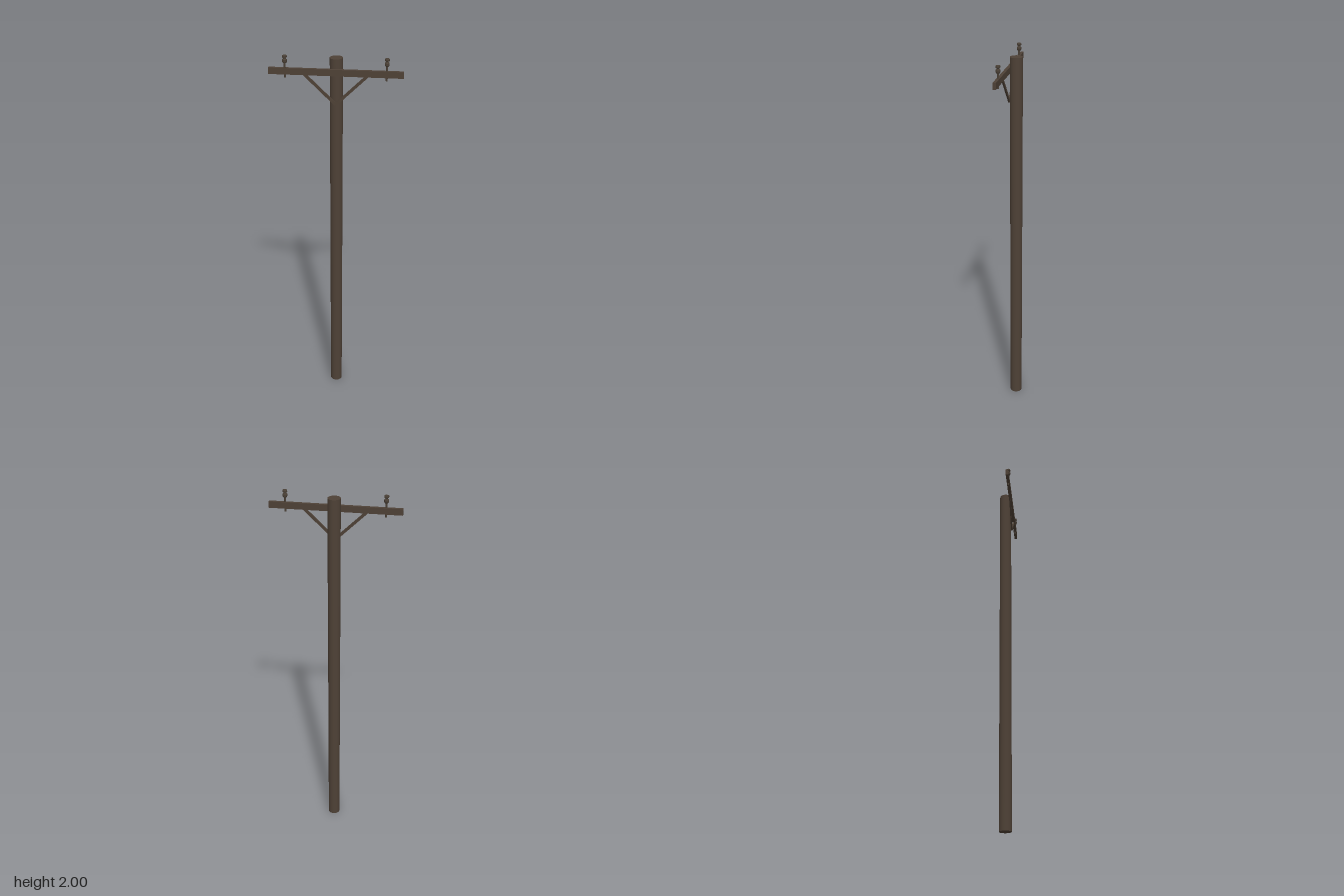
import * as THREE from 'three';

export function createModel() {
  const wood = new THREE.MeshStandardMaterial({ color: 0x4e4136 });
  wood.name = 'weathered wood';
  const dark = new THREE.MeshStandardMaterial({ color: 0x4a4036 });
  dark.name = 'dark fittings';

  const model = new THREE.Group();
  model.name = 'utilityPole';
  const add = (name, geometry, material, x, y, z) => {
    const mesh = new THREE.Mesh(geometry, material);
    mesh.name = name;
    mesh.position.set(x, y, z);
    model.add(mesh);
    return mesh;
  };

  // Upright pole
  add('pole', new THREE.CylinderGeometry(0.0325, 0.0325, 1.986, 24), wood, 0, 0.993, -0.0095);

  // Crossarm on the front of the pole
  const armZ = 0.027;
  add('crossarm', new THREE.BoxGeometry(0.66, 0.032, 0.016), wood, 0, 1.922, armZ);

  // Insulator profile: pin, lower skirt, waist and cap
  const profile = [
    [0, 1.89], [0.005, 1.89], [0.005, 1.963], [0.009, 1.963], [0.012, 1.968],
    [0.012, 1.979], [0.007, 1.983], [0.007, 1.987], [0.012, 1.99], [0.012, 1.998], [0.01, 2], [0, 2],
  ].map(([r, y]) => new THREE.Vector2(r, y - 1.89));

  for (const side of [-1, 1]) {
    const label = side > 0 ? 'left' : 'right';

    // Diagonal brace from the pole up to the crossarm
    const dx = 0.16, dy = 0.155;
    const brace = add(label + 'Brace', new THREE.BoxGeometry(Math.hypot(dx, dy), 0.014, 0.008),
      wood, side * dx / 2, 1.76 + dy / 2, armZ);
    brace.rotation.z = side * Math.atan2(dy, dx);

    // Insulator on its pin
    const insulator = new THREE.LatheGeometry(profile, 10).toNonIndexed();
    insulator.computeVertexNormals();
    add(label + 'Insulator', insulator, dark, side * 0.248, 1.89, armZ);
  }
  return model;
}
